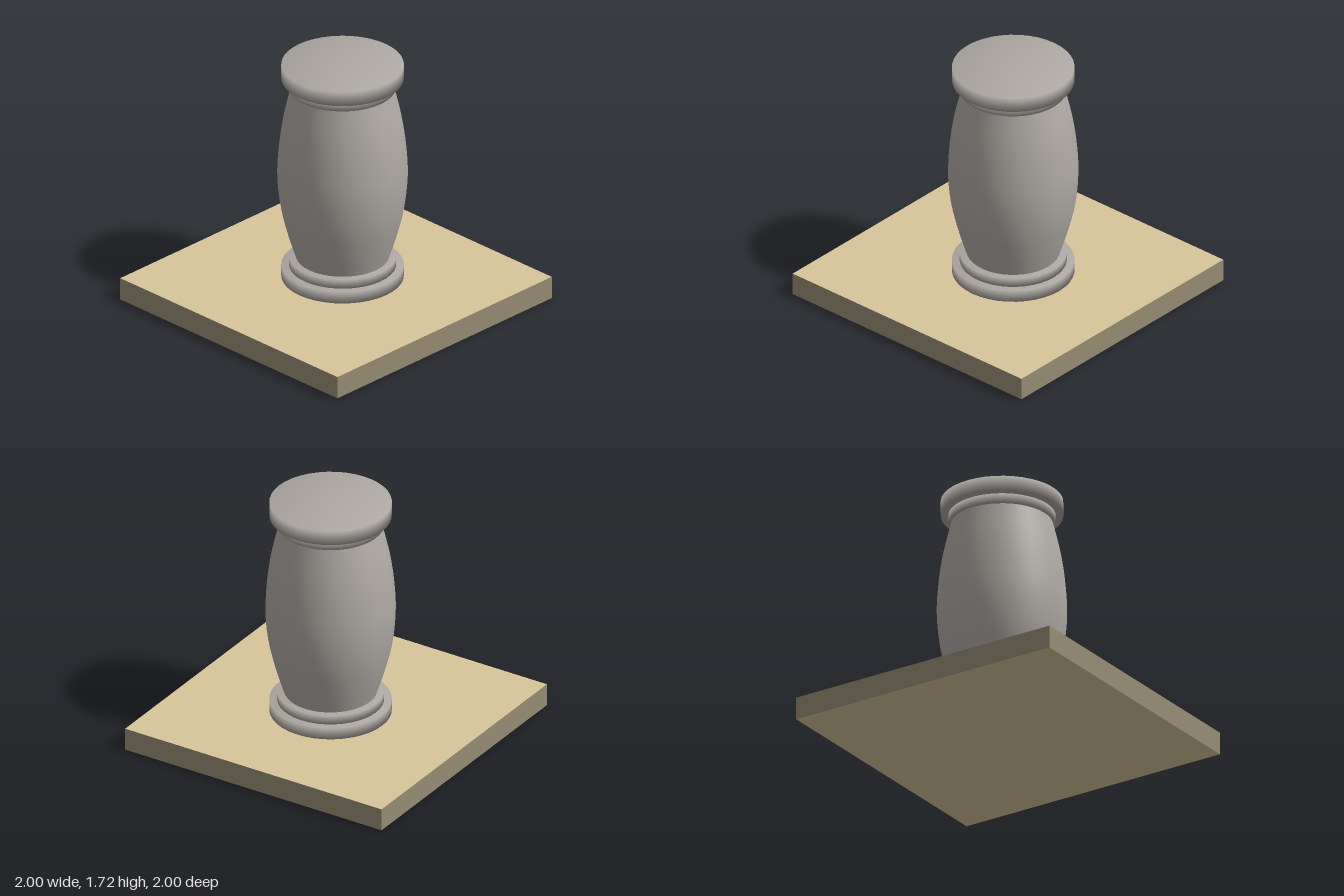
import * as THREE from 'three';

export function createModel() {
  const model = new THREE.Group();
  const material = (name, color) => {
    const m = new THREE.MeshStandardMaterial({ color });
    m.name = name;
    return m;
  };
  const stone = material('grey stone', 0xada8a2);
  const sand = material('sand', 0xd8c59b);
  const earth = material('dark sand', 0x978c73);

  // Square ground slab: sand faces above and below, darker edges
  const slab = new THREE.Mesh(new THREE.BoxGeometry(2, 0.157, 2),
    [earth, earth, sand, sand, earth, earth]);
  slab.name = 'baseSlab';
  slab.position.y = 0.0785;
  model.add(slab);

  // Column, set slightly behind the middle of the slab
  const column = new THREE.Group();
  column.name = 'column';
  column.position.set(0.008, 0, -0.053);
  model.add(column);

  const turned = (name, points) => {
    const mesh = new THREE.Mesh(new THREE.LatheGeometry(points, 40), stone);
    mesh.name = name;
    column.add(mesh);
  };

  // Stepped round mouldings at foot and head, softly shaded over their rims
  const disc = (name, radius, bottom, top) => turned(name, [
    new THREE.Vector2(0, bottom), new THREE.Vector2(radius, bottom),
    new THREE.Vector2(radius, top), new THREE.Vector2(0, top),
  ]);
  disc('lowerPlinth', 0.402, 0.157, 0.241);
  disc('upperPlinth', 0.352, 0.241, 0.305);
  disc('lowerCapital', 0.352, 1.55, 1.615);
  disc('upperCapital', 0.402, 1.615, 1.718);

  // Bulging shaft
  const profile = new THREE.SplineCurve([
    [0.306, 0.305], [0.36, 0.48], [0.407, 0.68], [0.428, 0.9],
    [0.417, 1.12], [0.387, 1.33], [0.336, 1.55],
  ].map(([r, y]) => new THREE.Vector2(r, y)));
  turned('shaft', profile.getPoints(28));

  return model;
}
